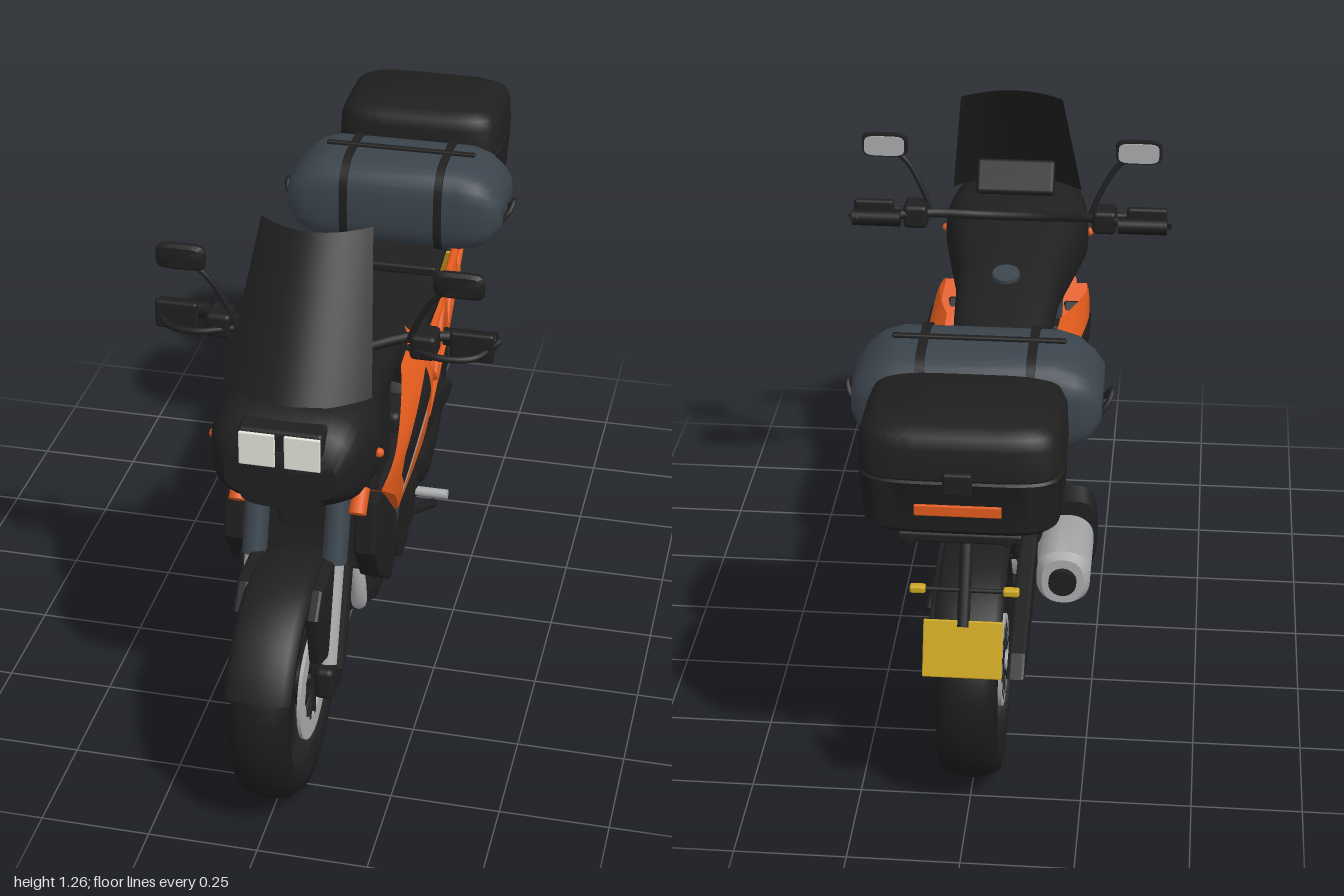
import * as THREE from 'three';
import { toCreasedNormals } from 'three/addons/utils/BufferGeometryUtils.js';
import { RoundedBoxGeometry } from 'three/addons/geometries/RoundedBoxGeometry.js';

const material = (name, color, side = THREE.FrontSide) => {
  const m = new THREE.MeshStandardMaterial({ color, side });
  m.name = name;
  return m;
};
const V = (x, y, z) => new THREE.Vector3(x, y, z);
const { lerp } = THREE.MathUtils;
const rad = THREE.MathUtils.degToRad;

// Piecewise linear height of an edge given as [z, y] points
function edge(pts, z) {
  let i = 0;
  while (i < pts.length - 2 && z > pts[i + 1][0]) i++;
  const [a, b] = [pts[i], pts[i + 1]];
  return lerp(a[1], b[1], (z - a[0]) / (b[0] - a[0]));
}

// Rounded cross-sections [z, halfWidth, bottom, top, centreX] joined along z, with closed ends
function loft(sections, p = 0.6, n = 32) {
  const first = sections[0], last = sections[sections.length - 1];
  const point = ([z, , b, t, c = 0]) => [z, 0, (b + t) / 2, (b + t) / 2, c];
  const all = [point(first), ...sections, point(last)], pos = [], idx = [];
  const pw = (v) => Math.sign(v) * Math.abs(v) ** p;
  for (const [z, w, b, t, c = 0] of all)
    for (let j = 0; j < n; j++) {
      const a = (j / n) * Math.PI * 2;
      pos.push(c + w * pw(Math.cos(a)), (b + t) / 2 + (t - b) / 2 * pw(Math.sin(a)), z);
    }
  for (let i = 0; i < all.length - 1; i++)
    for (let j = 0; j < n; j++) {
      const a = i * n + j, b = i * n + (j + 1) % n;
      idx.push(a, b, a + n, b, b + n, a + n);
    }
  const g = new THREE.BufferGeometry();
  g.setAttribute('position', new THREE.Float32BufferAttribute(pos, 3));
  g.setIndex(idx);
  return toCreasedNormals(g, 0.7);
}

// Open surface from a rule f(u, v)
function surface(f, nu = 24, nv = 10) {
  const g = new THREE.PlaneGeometry(1, 1, nu, nv), p = g.attributes.position;
  for (let i = 0; i < p.count; i++) p.setXYZ(i, ...f(p.getX(i) + 0.5, p.getY(i) + 0.5));
  g.computeVertexNormals();
  return g;
}

// Side plate from a [z, y] outline, centred on x = 0
function plate(pts, depth, bevel = 0.008) {
  const s = new THREE.Shape(pts.map(([z, y]) => new THREE.Vector2(z, y)));
  const g = new THREE.ExtrudeGeometry(s, { depth, bevelSize: bevel, bevelThickness: bevel, bevelSegments: 2 });
  return g.translate(0, 0, -depth / 2).rotateY(-Math.PI / 2);
}
const ring = (outer, inner, depth) => {
  const s = new THREE.Shape().absarc(0, 0, outer, 0, Math.PI * 2);
  s.holes.push(new THREE.Path().absarc(0, 0, inner, 0, Math.PI * 2, true));
  return new THREE.ExtrudeGeometry(s, { depth, bevelEnabled: false, curveSegments: 32 }).translate(0, 0, -depth / 2).rotateY(Math.PI / 2);
};
const axle = (r, len) => new THREE.CylinderGeometry(r, r, len, 28).rotateZ(Math.PI / 2);
const box = (w, h, d, r = 0.01) => new RoundedBoxGeometry(w, h, d, 3, r);
// Lathe about the x axis; angle runs from +z towards +y
const spin = (pts, start = 0, sweep = 360) => new THREE.LatheGeometry(
  pts.map(([r, h]) => new THREE.Vector2(r, h)), 56, rad(start), rad(sweep)).rotateZ(Math.PI / 2);
const tube = (pts, r) => new THREE.TubeGeometry(new THREE.CatmullRomCurve3(pts.map((p) => V(...p))), 24, r, 8);
function rod(a, b, r) {
  const A = V(...a), B = V(...b), d = B.clone().sub(A);
  const g = new THREE.CylinderGeometry(r, r, d.length(), 14);
  g.applyQuaternion(new THREE.Quaternion().setFromUnitVectors(V(0, 1, 0), d.normalize()));
  const m = A.add(B).multiplyScalar(0.5);
  return g.translate(m.x, m.y, m.z);
}

export function createModel() {
  const model = new THREE.Group();
  const black = material('black plastic', 0x1f1f1f, THREE.DoubleSide);
  const rubber = material('rubber', 0x1b1b1b);
  const orange = material('orange paint', 0xe05a1c, THREE.DoubleSide);
  const slate = material('slate', 0x3b444c);
  const silver = material('silver', 0xa8aaac, THREE.DoubleSide);
  const lens = material('headlight lens', 0xe4e4dc);
  const yellow = material('yellow', 0xcaa41e);
  let target = model;
  const add = (name, geo, mat, x = 0, y = 0, z = 0, rx = 0) => {
    const m = new THREE.Mesh(geo, mat);
    m.name = name;
    m.position.set(x, y, z);
    m.rotation.x = rx;
    target.add(m);
  };

  // Wheels
  for (const [name, z] of [['frontWheel', 0.72], ['rearWheel', -0.605]]) {
    const front = z > 0;
    target = new THREE.Group();
    target.name = name;
    target.position.set(0, 0.278, z);
    model.add(target);
    const R = front ? 0.276 : 0.27;
    add('tyre', spin([[0.205, -0.05], [0.225, -0.068], [0.25, -0.064], [R - 0.008, -0.04], [R, 0], [R - 0.008, 0.04], [0.25, 0.064], [0.225, 0.068], [0.205, 0.05], [0.205, -0.05]]), rubber);
    add('rim', spin([[0.207, -0.052], [0.195, -0.05], [0.188, 0], [0.195, 0.05], [0.207, 0.052]]), black);
    add('hub', axle(0.045, 0.13), black);
    for (let i = 0; i < 10; i++) {
      const a = i / 10 * Math.PI * 2;
      add('spoke', new THREE.BoxGeometry(0.035, 0.17, 0.018), black, 0, Math.cos(a) * 0.115, Math.sin(a) * 0.115, a);
    }
    for (const s of front ? [1, -1] : [-1]) {
      add('brakeDisc', ring(front ? 0.135 : 0.105, front ? 0.085 : 0.07, 0.008), silver, s * 0.062);
      for (let i = 0; i < 6; i++) add('discArm', new THREE.BoxGeometry(0.01, 0.18, 0.012), black, s * 0.062, 0, 0, i * Math.PI / 6);
    }
    if (!front) {
      add('sprocket', ring(0.098, 0.03, 0.012), slate, 0.068);
      add('axleNut', axle(0.022, 0.22), silver);
    }
    // Mudguard arcs over the tyre
    add('mudguard', spin([[0.27, -0.075], [0.293, -0.06], [0.304, 0], [0.293, 0.06], [0.27, 0.075]], front ? 24 : 25, 125), black);
  }
  target = model;

  // Fairing, tank and seat
  add('fairing', loft([[0, 0.11, 0.70, 0.795], [0.12, 0.12, 0.70, 0.835], [0.3, 0.13, 0.70, 0.88], [0.45, 0.16, 0.70, 0.915],
    [0.58, 0.185, 0.70, 0.945], [0.66, 0.175, 0.71, 0.95], [0.71, 0.155, 0.735, 0.925], [0.745, 0.125, 0.765, 0.88]], 0.65), black);
  add('beak', loft([[0.5, 0.1, 0.66, 0.76], [0.62, 0.12, 0.69, 0.78], [0.74, 0.09, 0.74, 0.80]], 0.7), black);
  add('fuelCap', new THREE.CylinderGeometry(0.033, 0.035, 0.015, 24), slate, 0, 0.862, 0.22, -0.25);
  add('seat', loft([[-0.36, 0.12, 0.71, 0.755], [-0.3, 0.145, 0.705, 0.765], [-0.1, 0.145, 0.695, 0.765], [0.02, 0.115, 0.69, 0.79]], 0.45), black);
  add('tailUnit', loft([[-0.8, 0.09, 0.735, 0.77], [-0.5, 0.11, 0.70, 0.775], [-0.28, 0.13, 0.69, 0.765]], 0.5), black);
  add('windshield', surface((u, v) => {
    const a = 2 * u - 1;
    return [a * lerp(0.165, 0.125, v), lerp(0.945, 1.26, v), lerp(0.665, 0.445, v) - lerp(0.085, 0.055, v) * a * a];
  }), black);
  add('instrumentPanel', box(0.2, 0.09, 0.025), black, 0, 1.0, 0.52, 0.6);
  add('headlightHousing', box(0.19, 0.095, 0.06, 0.012), black, 0, 0.885, 0.712);
  add('airbox', box(0.2, 0.26, 0.4, 0.03), black, 0, 0.6, 0.25);
  add('radiator', box(0.28, 0.25, 0.05), black, 0, 0.53, 0.42, -0.15);

  // Engine, sump guard and exhaust
  add('crankcase', box(0.24, 0.24, 0.44, 0.04), black, 0, 0.36, 0.14);
  add('sumpGuard', loft([[-0.08, 0.09, 0.215, 0.27], [0.05, 0.12, 0.205, 0.28], [0.3, 0.12, 0.21, 0.3], [0.38, 0.10, 0.235, 0.33], [0.4, 0.08, 0.27, 0.35]], 0.5), black);
  add('engineCover', axle(0.09, 0.31), black, 0, 0.37, 0.17);
  add('clutchCover', axle(0.055, 0.28), black, 0, 0.31, 0.01);
  for (const x of [-0.05, 0.05])
    add('headerPipe', tube([[x, 0.53, 0.36], [x, 0.49, 0.42], [x * 1.8, 0.38, 0.415], [x * 1.8, 0.26, 0.375], [x, 0.23, 0.2], [x, 0.225, -0.05]], 0.02), silver);
  add('exhaustPipe', tube([[0, 0.23, 0], [-0.06, 0.24, -0.12], [-0.12, 0.32, -0.22], [-0.16, 0.43, -0.3], [-0.195, 0.52, -0.45]], 0.026), silver);
  add('silencer', loft([[-0.79, 0.045, 0.55, 0.655, -0.205], [-0.77, 0.058, 0.54, 0.665, -0.205], [-0.5, 0.058, 0.485, 0.6, -0.2], [-0.43, 0.04, 0.49, 0.565, -0.195]], 0.8), silver);
  add('silencerShield', loft([[-0.47, 0.05, 0.46, 0.62, -0.212], [-0.43, 0.052, 0.42, 0.64, -0.212], [-0.385, 0.04, 0.42, 0.61, -0.212]], 0.7), black);
  add('silencerEnd', new THREE.CylinderGeometry(0.03, 0.03, 0.03, 20).rotateX(Math.PI / 2), black, -0.205, 0.605, -0.79);
  add('shock', rod([0, 0.36, -0.2], [0, 0.64, -0.15], 0.018), silver);
  for (let i = 0; i < 6; i++) add('shockSpring', new THREE.TorusGeometry(0.036, 0.008, 6, 18).rotateX(Math.PI / 2), silver, 0, 0.4 + i * 0.03, -0.193 + i * 0.005);
  add('pivotPlate', box(0.2, 0.26, 0.12, 0.02), black, 0, 0.4, -0.1);
  add('innerMudguard', plate([[-0.3, 0.62], [-0.4, 0.6], [-0.43, 0.38], [-0.38, 0.38]], 0.1), black);
  add('footPegs', axle(0.012, 0.44), silver, 0, 0.313, -0.05);
  add('sideStand', rod([0.11, 0.28, 0.02], [0.15, 0.165, -0.23], 0.012), black);
  add('chain', rod([0.085, 0.3, -0.05], [0.085, 0.2, -0.55], 0.007), black);
  add('handlebar', tube([[-0.38, 0.965, 0.3], [-0.2, 0.97, 0.34], [-0.08, 0.95, 0.385], [0.08, 0.95, 0.385], [0.2, 0.97, 0.34], [0.38, 0.965, 0.3]], 0.012), black);

  // Bodywork curve of the side panels; patches share it so details lie on the paint
  const panelX = (z, y) => 0.198 - (y > 0.69 ? 6.5 : 0.75) * (y - 0.69) ** 2 - (z < 0.08 ? 2 * (z - 0.08) ** 2 : 0) - (z > 0.4 ? 0.6 * (z - 0.4) ** 2 : 0);
  const patch = (s, z0, z1, top, bottom, lift) => surface((u, v) => {
    const z = lerp(z0, z1, u), y = lerp(edge(bottom, z), edge(top, z), v);
    return [s * (panelX(z, y) + lift), y, z];
  }, 40, 14);

  for (const s of [1, -1]) {
    target = new THREE.Group();
    target.name = s > 0 ? 'leftSide' : 'rightSide';
    model.add(target);
    const bar = (name, a, b, r, mat) => add(name, rod([s * a[0], a[1], a[2]], [s * b[0], b[1], b[2]], r), mat);

    // Painted side panel, dark inset and stripe
    add('sidePanel', patch(s, -0.03, 0.556, [[-0.03, 0.79], [0.15, 0.785], [0.4, 0.735], [0.556, 0.70]],
      [[-0.03, 0.727], [0.09, 0.535], [0.2, 0.475], [0.26, 0.47], [0.36, 0.525], [0.465, 0.63], [0.556, 0.695]], 0), orange);
    add('panelInset', patch(s, 0.075, 0.43, [[0.075, 0.745], [0.4, 0.695], [0.43, 0.663]], [[0.075, 0.743], [0.107, 0.69], [0.385, 0.61], [0.43, 0.66]], 0.005), black);
    add('panelStripe', patch(s, 0.145, 0.395, [[0.145, 0.67], [0.395, 0.61]], [[0.145, 0.655], [0.395, 0.585]], 0.005), silver);
    // Painted front return closing the panel towards the fork
    add('panelFront', surface((u, v) => {
      const z = lerp(0.36, 0.556, v), y = edge([[0.36, 0.525], [0.465, 0.63], [0.556, 0.695]], z);
      return [s * lerp(0.125, panelX(z, y), u), y, z];
    }, 4, 12), orange);
    add('radiatorShroud', plate([[0.57, 0.665], [0.585, 0.55], [0.52, 0.45], [0.41, 0.37], [0.36, 0.40], [0.36, 0.51], [0.47, 0.62], [0.51, 0.655]], 0.035), black, s * 0.15);
    bar('frameTube', [0.137, 0.7, 0.56], [0.137, 0.655, 0.6], 0.02, orange);
    bar('frameTube', [0.14, 0.61, 0.04], [0.13, 0.49, -0.08], 0.018, orange);
    bar('frameTube', [0.13, 0.49, 0.22], [0.13, 0.43, 0.01], 0.013, orange);
    bar('frameTube', [0.13, 0.72, 0.0], [0.14, 0.61, 0.04], 0.016, orange);

    // Trellis rear frame, each tube as z, y to z, y
    const truss = [[-0.03, 0.69, -0.74, 0.745], [-0.11, 0.50, -0.39, 0.57], [-0.39, 0.57, -0.72, 0.735], [-0.03, 0.69, -0.11, 0.6], [-0.11, 0.5, -0.2, 0.70],
      [-0.06, 0.67, -0.23, 0.54], [-0.23, 0.54, -0.35, 0.715], [-0.35, 0.715, -0.4, 0.57], [-0.4, 0.57, -0.52, 0.725], [-0.52, 0.725, -0.55, 0.65]];
    for (const [z0, y0, z1, y1] of truss)
      bar('rearFrameTube', [0.155 + z0 * 0.04, y0, z0], [0.155 + z1 * 0.04, y1, z1], 0.011, orange);

    // Fork, guards and caliper
    bar('forkLower', [0.092, 0.28, 0.715], [0.092, 0.54, 0.63], 0.022, silver);
    bar('forkUpper', [0.092, 0.54, 0.63], [0.092, 0.78, 0.55], 0.028, slate);
    add('forkGuard', plate([[0.80, 0.50], [0.76, 0.545], [0.62, 0.55], [0.60, 0.50], [0.69, 0.38], [0.72, 0.35], [0.77, 0.37]], 0.015), black, s * 0.082);
    bar('forkLegCover', [0.112, 0.3, 0.69], [0.112, 0.53, 0.61], 0.018, black);
    add('forkFoot', box(0.045, 0.08, 0.07, 0.015), black, s * 0.093, 0.285, 0.715);
    add('caliper', box(0.04, 0.09, 0.05, 0.012), black, s * 0.085, 0.25, 0.62);

    // Swingarm, foot bracket
    add('swingarm', plate([[-0.1, 0.44], [-0.2, 0.43], [-0.62, 0.30], [-0.66, 0.27], [-0.6, 0.26], [-0.45, 0.29], [-0.1, 0.36]], 0.025), black, s * 0.095);
    bar('footBracket', [0.12, 0.42, -0.06], [0.13, 0.3, -0.05], 0.016, black);

    // Lights
    add('headlight', box(0.08, 0.08, 0.008, 0.003), lens, s * 0.05, 0.885, 0.744);
    add('frontIndicator', new THREE.SphereGeometry(0.011, 12, 8), orange, s * 0.186, 0.822, 0.6);
    bar('indicatorStalk', [0.01, 0.61, -0.855], [0.09, 0.61, -0.855], 0.005, black);
    add('rearIndicator', box(0.035, 0.018, 0.02, 0.006), yellow, s * 0.1, 0.61, -0.855);

    // Controls and mirrors
    add('grip', axle(0.02, 0.12), rubber, s * 0.33, 0.965, 0.31);
    add('gripGuard', box(0.1, 0.07, 0.02, 0.008), black, s * 0.34, 0.965, 0.345);
    add('switchPod', box(0.06, 0.06, 0.07, 0.012), black, s * 0.235, 0.965, 0.35);
    add('lever', tube([[s * 0.2, 0.96, 0.37], [s * 0.28, 0.955, 0.395], [s * 0.35, 0.955, 0.38], [s * 0.395, 0.965, 0.31]], 0.008), black);
    add('mirrorStalk', tube([[s * 0.2, 0.97, 0.36], [s * 0.215, 1.01, 0.365], [s * 0.255, 1.085, 0.375], [s * 0.29, 1.12, 0.38]], 0.007), black);
    add('mirror', loft([[-0.01, 0.055, -0.029, 0.029], [0.004, 0.0575, -0.031, 0.031], [0.012, 0.048, -0.024, 0.024]], 0.45), black, s * 0.315, 1.133, 0.38);
    add('mirrorGlass', loft([[-0.003, 0.05, -0.025, 0.025], [0.003, 0.05, -0.025, 0.025]], 0.45), silver, s * 0.315, 1.133, 0.369);

    // Luggage rack rails, roll straps and handles
    bar('rackRail', [0.13, 0.79, -0.3], [0.1, 0.79, -0.96], 0.009, black);
    bar('rackPost', [0.12, 0.72, -0.6], [0.115, 0.79, -0.6], 0.009, black);
    add('rollStrap', loft([[-0.01, 0.133, 0.797, 1.036], [0.01, 0.133, 0.797, 1.036]], 0.6).rotateY(Math.PI / 2), black, s * 0.12, 0, -0.497);
    add('rollHandle', tube([[s * 0.25, 0.86, -0.54], [s * 0.285, 0.9, -0.52], [s * 0.292, 0.92, -0.497], [s * 0.285, 0.9, -0.47], [s * 0.25, 0.86, -0.45]], 0.007), black);
  }
  target = model;

  // Luggage
  add('rackPlate', box(0.26, 0.025, 0.64, 0.008), black, 0, 0.79, -0.63);
  const bagEnd = [[0.17, 0.128, 0.802, 1.03], [0.215, 0.126, 0.812, 1.015], [0.25, 0.115, 0.835, 0.985], [0.272, 0.092, 0.87, 0.955]];
  add('rollBag', loft([...bagEnd.map(([x, ...r]) => [-x, ...r]).reverse(), ...bagEnd], 0.6).rotateY(Math.PI / 2), slate, 0, 0, -0.497);
  add('crossStrap', box(0.38, 0.01, 0.015, 0.004), black, 0, 1.033, -0.497);
  // Top box: rounded plan outlines stacked upwards
  add('topBox', loft([[-0.12, 0.19, -0.135, 0.135], [-0.105, 0.205, -0.15, 0.15], [0.005, 0.213, -0.157, 0.157], [0.01, 0.209, -0.153, 0.153], [0.015, 0.213, -0.157, 0.157],
    [0.08, 0.21, -0.154, 0.154], [0.105, 0.2, -0.145, 0.145], [0.12, 0.175, -0.12, 0.12]], 0.4, 48).rotateX(-Math.PI / 2), black, 0, 0.93, -0.828);
  add('boxLatch', box(0.06, 0.05, 0.02, 0.006), black, 0, 0.94, -0.987);
  add('boxReflector', box(0.18, 0.025, 0.008, 0.003), orange, 0, 0.875, -0.983);

  // Tail light, plate stay and number plate
  add('tailLight', box(0.1, 0.025, 0.02, 0.006), orange, 0, 0.755, -0.805);
  add('plateStay', rod([0, 0.74, -0.78], [0, 0.54, -0.89], 0.014), black);
  add('numberPlate', box(0.17, 0.125, 0.008, 0.003), yellow, 0, 0.495, -0.908, 0.35);
  return model;
}
